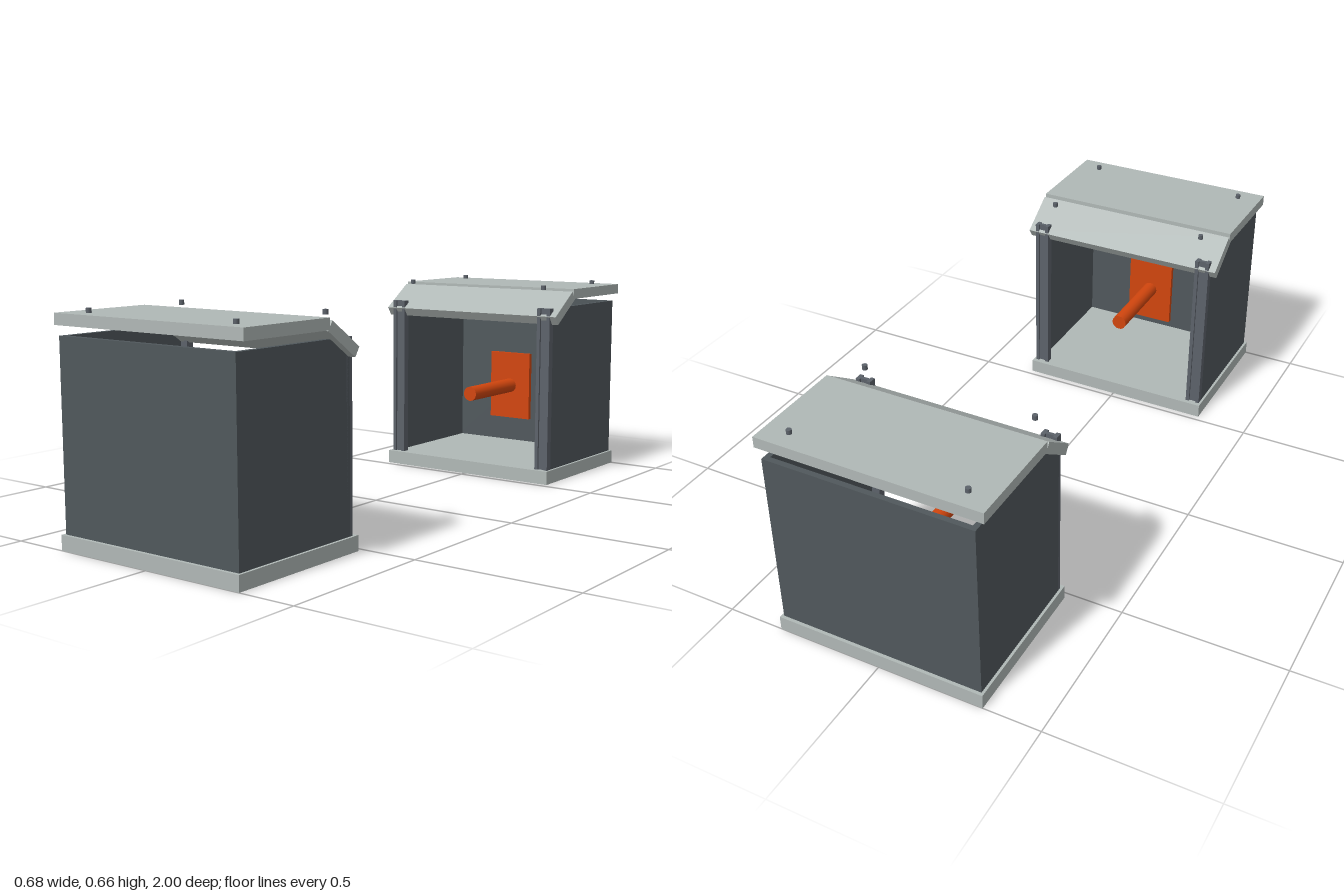
import * as THREE from 'three';

const flat = (name, color) => {
  const m = new THREE.MeshStandardMaterial({ color });
  m.name = name;
  return m;
};

export function createModel() {
  const concrete = flat('light grey concrete', 0xb0b8b6);
  const panelGrey = flat('dark grey wall', 0x50585c);
  const steel = flat('steel', 0x5c626a);
  const orange = flat('orange', 0xd2460e);

  const add = (parent, name, geometry, material) => {
    const mesh = new THREE.Mesh(geometry, material);
    mesh.name = name;
    parent.add(mesh);
    return mesh;
  };
  // Box given by its limits on each axis
  const box = (x0, x1, y0, y1, z0, z1) =>
    new THREE.BoxGeometry(x1 - x0, y1 - y0, z1 - z0)
      .translate((x0 + x1) / 2, (y0 + y1) / 2, (z0 + z1) / 2);
  // Side profile of [z, y] points, extruded between two x positions
  const sideProfile = (points, x0, x1) =>
    new THREE.ExtrudeGeometry(new THREE.Shape(points.map(p => new THREE.Vector2(...p))),
      { depth: x1 - x0, bevelEnabled: false }).rotateY(-Math.PI / 2).translate(x1, 0, 0);

  // One shelter at +z, open towards the centre
  const createShelter = () => {
    const g = new THREE.Group();
    g.name = 'shelter';

    add(g, 'floorSlab', box(-0.326, 0.326, 0, 0.045, 0.52, 1), concrete);
    add(g, 'backWall', box(-0.318, 0.318, 0.04, 0.59, 0.973, 0.99), panelGrey);

    // Roof: level slab and tilted canopy
    add(g, 'roofSlab', box(-0.341, 0.341, 0.617, 0.65, 0.657, 0.986), concrete);
    add(g, 'canopy', sideProfile(
      [[0.533, 0.564], [0.551, 0.537], [0.665, 0.615], [0.647, 0.642]], -0.341, 0.341), concrete);

    for (const s of [-1, 1]) {
      // Side wall, cut back under the canopy
      const [a, b] = [0.302 * s, 0.318 * s].sort((p, q) => p - q);
      add(g, 'sideWall', sideProfile(
        [[0.546, 0.04], [0.975, 0.04], [0.975, 0.59], [0.588, 0.59], [0.546, 0.56]], a, b), panelGrey);

      // H-section post: two flanges and a web
      const post = new THREE.Group();
      post.name = 'post';
      post.position.x = 0.294 * s;
      g.add(post);
      for (const f of [-1, 1]) {
        add(post, 'postFlange', box(-0.006, 0.006, 0.04, 0.59, 0.535, 0.559).translate(0.018 * f, 0, 0), steel);
      }
      add(post, 'postWeb', box(-0.013, 0.013, 0.04, 0.59, 0.542, 0.552), steel);

      // Roof bolts
      for (const z of [0.582, 0.93]) {
        add(g, 'roofBolt', new THREE.CylinderGeometry(0.008, 0.008, 0.014, 12)
          .translate(0.266 * s, 0.656, z), steel);
      }
    }

    // Orange plate with a rod pointing out of the opening
    add(g, 'plate', box(-0.08, 0.08, 0.158, 0.396, 0.82, 0.835), orange);
    add(g, 'rod', new THREE.CylinderGeometry(0.025, 0.025, 0.275, 16)
      .rotateX(Math.PI / 2).translate(0, 0.277, 0.6875), orange);
    return g;
  };

  const model = new THREE.Group();
  model.name = 'facingShelters';
  const front = createShelter();
  front.name = 'frontShelter';
  const rear = createShelter();
  rear.name = 'rearShelter';
  rear.rotation.y = Math.PI;
  model.add(front, rear);
  return model;
}
